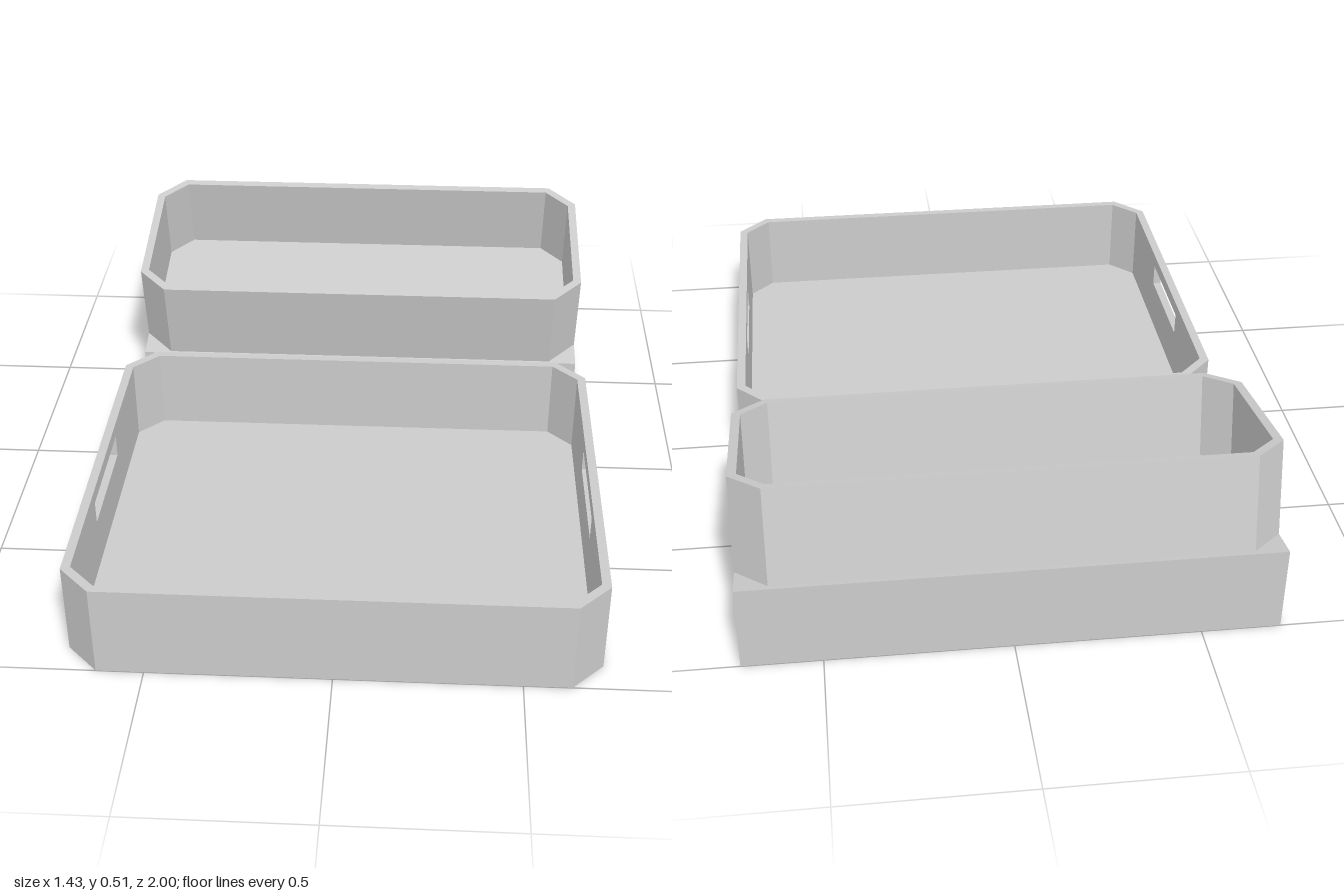
import * as THREE from 'three';

const W = 1.43, H = 0.27, CHAMFER = 0.087, T = 0.025;
const material = new THREE.MeshStandardMaterial({ color: 0xcccccc, flatShading: true });

const toShape = (pts) => new THREE.Shape(pts.map(([x, y]) => new THREE.Vector2(x, y)));

// Chamfered rectangle, corners running front, right, back, left (x, z)
function octagon(w, d, c) {
  const x = w / 2, z = d / 2;
  return [[c - x, z], [x - c, z], [x, z - c], [x, c - z],
    [x - c, -z], [c - x, -z], [-x, c - z], [-x, z - c]];
}

// One wall panel, outer face at z = 0, inner face mitred to meet its neighbours
function panelGeometry(length, slot) {
  const h = length / 2;
  const shape = toShape([[-h, 0], [h, 0], [h, H], [-h, H]]);
  if (slot) {
    const s = slot.width / 2;
    shape.holes.push(toShape([[-s, slot.bottom], [-s, slot.top], [s, slot.top], [s, slot.bottom]]));
  }
  const geo = new THREE.ExtrudeGeometry(shape, { depth: T, bevelEnabled: false });
  geo.translate(0, 0, -T);
  const pos = geo.attributes.position, mitre = T * Math.tan(Math.PI / 8);
  for (let i = 0; i < pos.count; i++) {
    const x = pos.getX(i);
    if (pos.getZ(i) < -T / 2 && Math.abs(x) > h - 1e-4) pos.setX(i, x - Math.sign(x) * mitre);
  }
  geo.computeVertexNormals();
  return geo;
}

function createTray(name, depth, slot) {
  const tray = new THREE.Group();
  tray.name = name;

  // Eight walls around the outline; the two ends may carry a hand slot
  const corners = octagon(W, depth, CHAMFER);
  corners.forEach(([ax, az], i) => {
    const [bx, bz] = corners[(i + 1) % 8];
    const isEnd = i === 2 || i === 6;
    const wall = new THREE.Mesh(
      panelGeometry(Math.hypot(bx - ax, bz - az), isEnd ? slot : null), material);
    wall.name = i % 2 ? 'cornerWall' : isEnd ? 'endWall' : 'longWall';
    wall.position.set((ax + bx) / 2, 0, (az + bz) / 2);
    wall.rotation.y = Math.atan2(az - bz, bx - ax);
    tray.add(wall);
  });

  // Floor fitted between the walls
  const inset = CHAMFER - T * (2 - Math.SQRT2);
  const floorGeo = new THREE.ExtrudeGeometry(
    toShape(octagon(W - 2 * T, depth - 2 * T, inset)), { depth: T, bevelEnabled: false });
  floorGeo.rotateX(-Math.PI / 2);
  const floor = new THREE.Mesh(floorGeo, material);
  floor.name = 'floor';
  tray.add(floor);
  return tray;
}

export function createModel() {
  const model = new THREE.Group();
  model.name = 'trays';

  // Large tray with hand slots, flat on the ground
  const largeTray = createTray('largeTray', 1.18, { width: 0.33, bottom: 0.165, top: 0.232 });
  largeTray.position.z = 0.41;
  model.add(largeTray);

  // Small tray tilted forward on its wedge
  const smallTray = createTray('smallTray', 0.586, null);
  smallTray.position.set(0, 0.19, -0.698);
  smallTray.rotation.x = 0.2;
  model.add(smallTray);

  // Wedge stand, side profile extruded across the width
  const wedgeGeo = new THREE.ExtrudeGeometry(
    toShape([[0.403, 0], [1, 0], [1, 0.25], [0.403, 0.13]]), { depth: W, bevelEnabled: false });
  wedgeGeo.translate(0, 0, -W / 2);
  wedgeGeo.rotateY(Math.PI / 2);
  const wedge = new THREE.Mesh(wedgeGeo, material);
  wedge.name = 'wedgeStand';
  model.add(wedge);

  return model;
}
